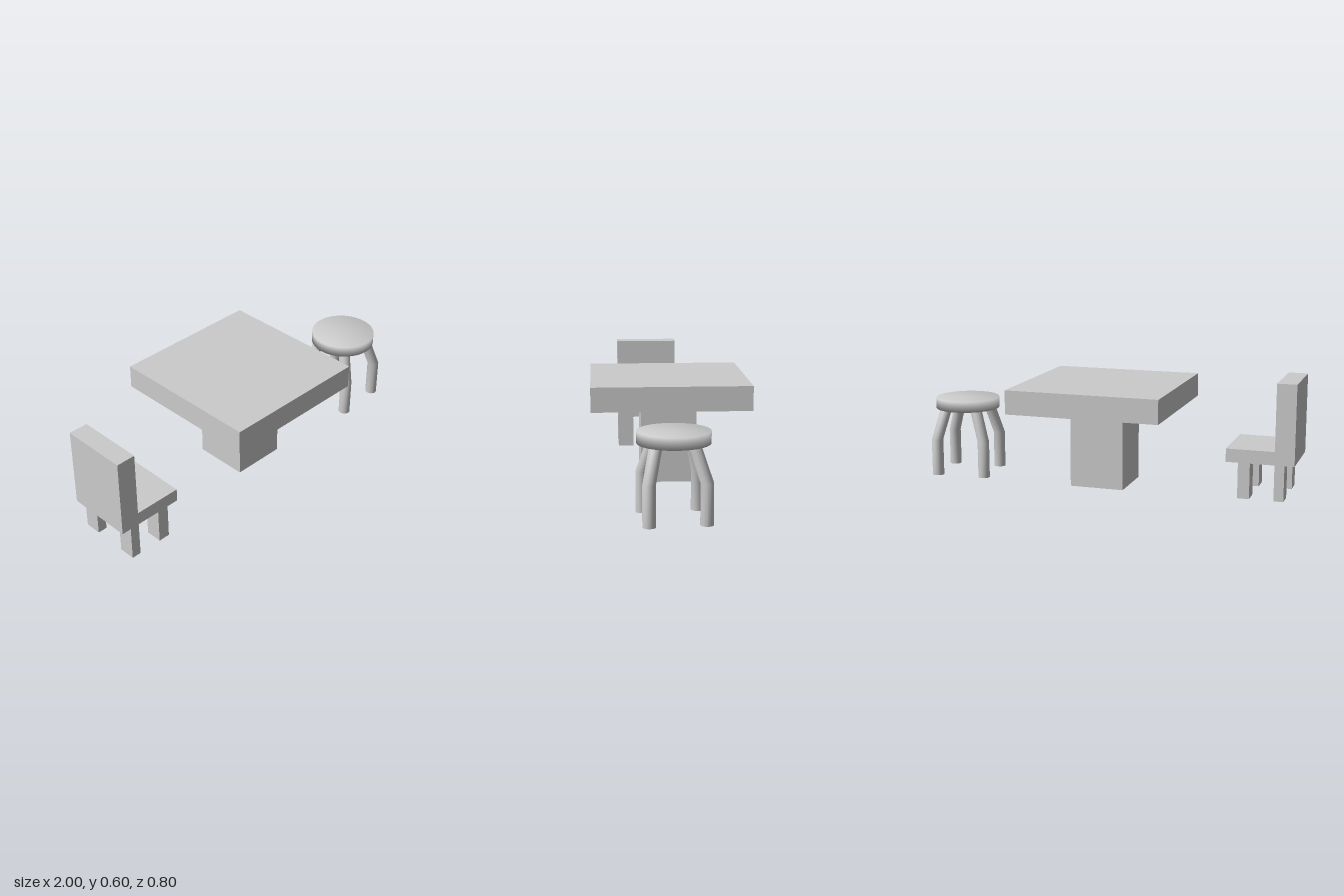
import * as THREE from 'three';

const material = new THREE.MeshStandardMaterial({ color: 0xcccccc });

// Box given by its lower and upper bounds on each axis
function addBox(parent, name, [x0, x1], [y0, y1], [z0, z1]) {
  const mesh = new THREE.Mesh(new THREE.BoxGeometry(x1 - x0, y1 - y0, z1 - z0), material);
  mesh.position.set((x0 + x1) / 2, (y0 + y1) / 2, (z0 + z1) / 2);
  mesh.name = name;
  parent.add(mesh);
}

function createTable() {
  const table = new THREE.Group();
  table.name = 'table';
  addBox(table, 'tableTop', [-0.38, 0.422], [0.422, 0.546], [-0.4, 0.4]);
  addBox(table, 'pedestal', [-0.12, 0.166], [0.005, 0.422], [-0.143, 0.143]);
  return table;
}

function createChair() {
  const chair = new THREE.Group();
  chair.name = 'chair';
  addBox(chair, 'backrest', [-1, -0.9], [0.19, 0.604], [-0.104, 0.24]);
  addBox(chair, 'seat', [-0.9, -0.652], [0.19, 0.259], [-0.104, 0.24]);
  for (const x of [[-0.95, -0.9], [-0.776, -0.715]])
    for (const z of [[-0.104, -0.018], [0.154, 0.24]])
      addBox(chair, 'chairLeg', x, [0.005, 0.19], z);
  return chair;
}

// Upright to the knee, then leaning in to the seat; every ring stays level
function createStoolLegGeometry() {
  const knee = 0.195, top = 0.365;
  const geometry = new THREE.CylinderGeometry(0.031, 0.031, 2, 24, 2);
  const p = geometry.attributes.position;
  for (let i = 0; i < p.count; i++) {
    const level = Math.round(p.getY(i)); // -1 foot, 0 knee, 1 top
    const [cx, cz] = level > 0 ? [0.086, 0.087] : [0.142, 0.121];
    p.setXYZ(i, p.getX(i) + cx, [0, knee, top][level + 1], p.getZ(i) + cz);
  }
  geometry.computeVertexNormals();
  return geometry;
}

function createStool() {
  const stool = new THREE.Group();
  stool.name = 'stool';
  stool.position.set(0.825, 0, 0.02);

  // Flat disc seat with shading blended over its rims
  const r = 0.172;
  const profile = [[0, 0.357], [r, 0.357], [r, 0.414], [0, 0.414]].map(([x, y]) => new THREE.Vector2(x, y));
  const seat = new THREE.Mesh(new THREE.LatheGeometry(profile, 48), material);
  seat.name = 'stoolSeat';
  stool.add(seat);

  const legGeometry = createStoolLegGeometry();
  for (let i = 0; i < 4; i++) {
    const leg = new THREE.Mesh(legGeometry, material);
    leg.name = 'stoolLeg';
    leg.rotation.y = i * Math.PI / 2;
    stool.add(leg);
  }
  return stool;
}

export function createModel() {
  const group = new THREE.Group();
  group.name = 'tableChairAndStool';
  group.add(createTable(), createChair(), createStool());
  return group;
}
